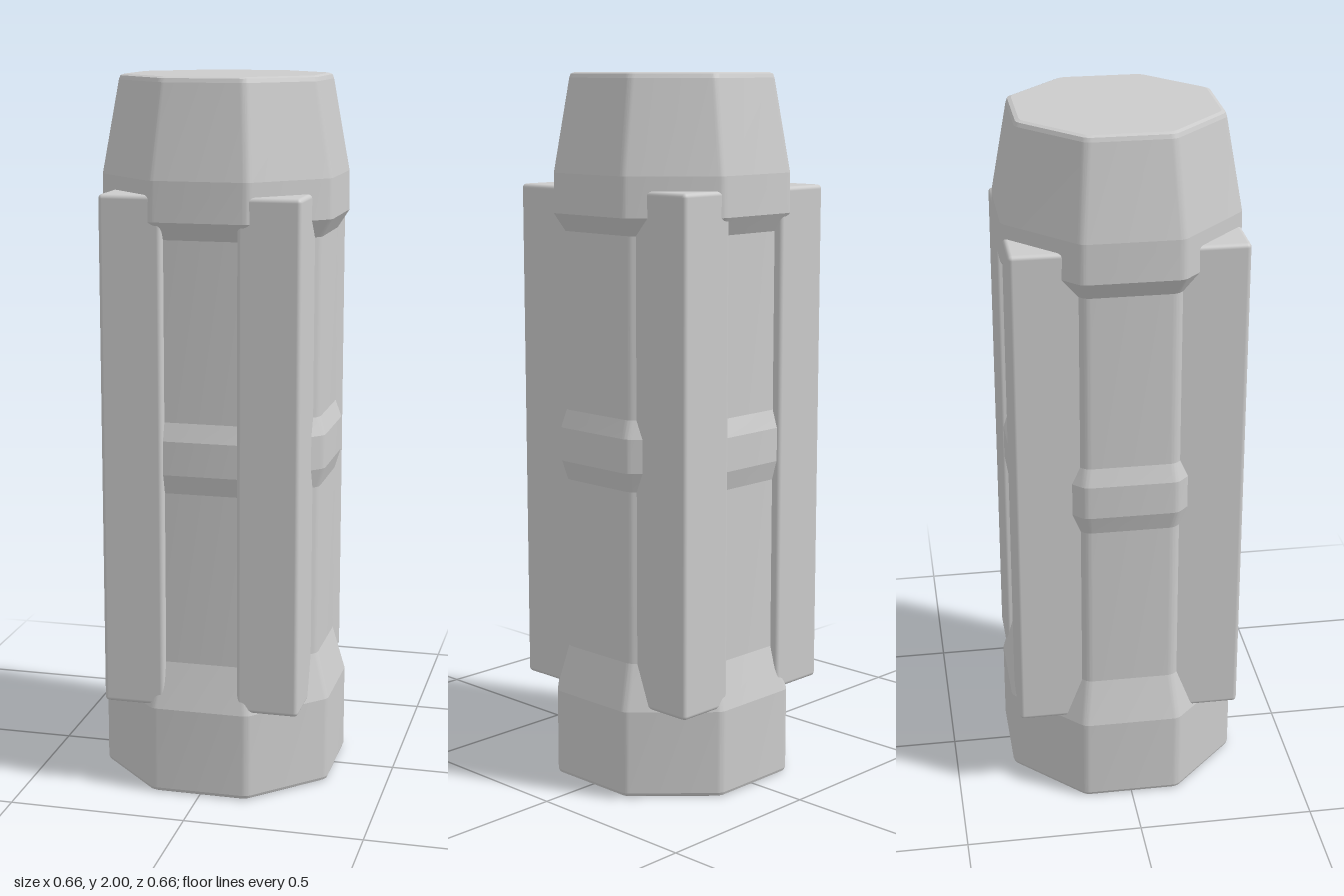
import * as THREE from 'three';
import { toCreasedNormals } from 'three/addons/utils/BufferGeometryUtils.js';
import { RoundedBoxGeometry } from 'three/addons/geometries/RoundedBoxGeometry.js';

const material = new THREE.MeshStandardMaterial({ color: 0xcccccc });

// Octagon with softened corners; a = distance from the centre to a flat side
function octagon(a, radius = 0.035, steps = 6) {
  const points = [];
  const c = (a - radius) / Math.cos(Math.PI / 8);
  for (let k = 0; k < 8; k++) {
    const mid = (k + 0.5) * Math.PI / 4;
    for (let i = 0; i <= steps; i++) {
      const t = mid + (i / steps - 0.5) * Math.PI / 4;
      points.push([c * Math.sin(mid) + radius * Math.sin(t), c * Math.cos(mid) + radius * Math.cos(t)]);
    }
  }
  return points;
}

// Octagonal solid lofted through [apothem, height] rings, bottom to top
function octagonSolid(name, profile) {
  const position = [], index = [];
  const n = octagon(1).length;
  for (const [a, y] of profile) {
    for (const [x, z] of octagon(a)) position.push(x, y, z);
  }
  const last = (profile.length - 1) * n;
  const bottom = position.length / 3;
  position.push(0, profile[0][1], 0, 0, profile[profile.length - 1][1], 0);
  for (let i = 0; i < n; i++) {
    const j = (i + 1) % n;
    for (let r = 0; r < last; r += n) {
      index.push(r + i, r + j, r + n + j, r + i, r + n + j, r + n + i);
    }
    index.push(bottom, j, i, bottom + 1, last + i, last + j);
  }
  const geometry = new THREE.BufferGeometry();
  geometry.setAttribute('position', new THREE.Float32BufferAttribute(position, 3));
  geometry.setIndex(index);
  const mesh = new THREE.Mesh(toCreasedNormals(geometry, 0.15), material);
  mesh.name = name;
  return mesh;
}

export function createModel() {
  const group = new THREE.Group();
  group.name = 'octagonalCanister';

  // Foot flaring out from the shaft
  group.add(octagonSolid('base', [[0.32, 0], [0.327, 0.004], [0.33, 0.012], [0.33, 0.25], [0.295, 0.38]]));
  // Straight shaft with a raised band at mid height
  group.add(octagonSolid('shaft', [
    [0.295, 0.38], [0.295, 0.87], [0.311, 0.925], [0.311, 1.02], [0.295, 1.07], [0.295, 1.57],
  ]));
  // Tapered head
  group.add(octagonSolid('head', [
    [0.295, 1.57], [0.326, 1.62], [0.324, 1.73], [0.28, 1.985], [0.276, 1.996], [0.266, 2],
  ]));

  // Upright bars on the four diagonal sides
  for (const sx of [-1, 1]) {
    for (const sz of [-1, 1]) {
      const bar = new THREE.Mesh(new RoundedBoxGeometry(0.175, 1.435, 0.22, 3, 0.012), material);
      bar.position.set(sx * 0.1915, 0.9735, sz * 0.21);
      bar.name = (sz > 0 ? 'front' : 'back') + (sx > 0 ? 'Left' : 'Right') + 'Bar';
      group.add(bar);
    }
  }
  return group;
}
